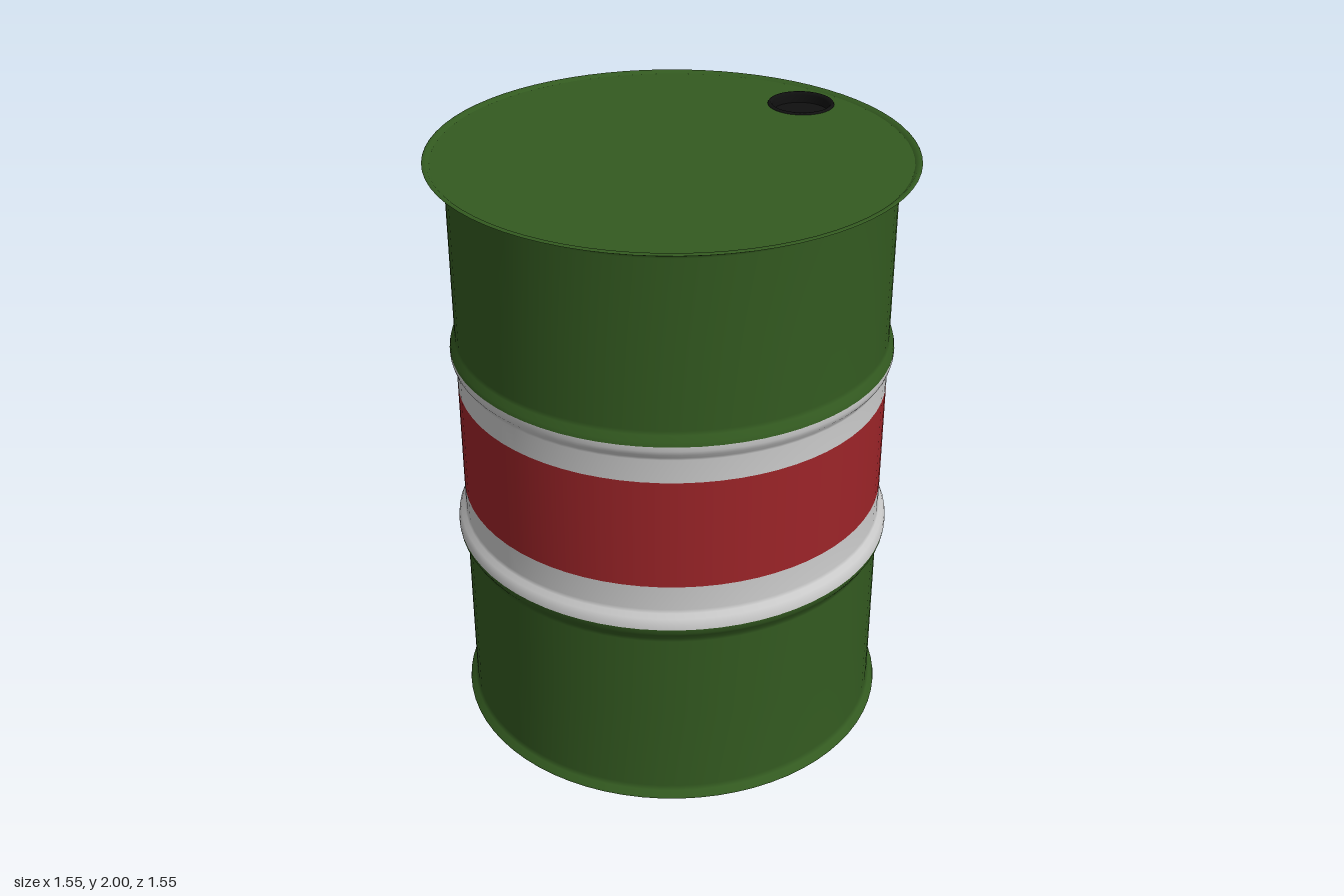
import * as THREE from 'three';

const SEGMENTS = 72;
const GREEN = 0x335a20, RED = 0x9c2428, GREY = 0xcccccc, BLACK = 0x101010;

const material = (color, side = THREE.FrontSide) => new THREE.MeshStandardMaterial({ color, side });

function add(parent, name, geometry, mat) {
  const mesh = new THREE.Mesh(geometry, mat);
  mesh.name = name;
  parent.add(mesh);
  return mesh;
}

// Revolves a list of [radius, height] pairs about the y axis.
function lathe(profile, segments = SEGMENTS) {
  return new THREE.LatheGeometry(profile.map(([r, y]) => new THREE.Vector2(r, y)), segments);
}

export function createModel() {
  const drum = new THREE.Group();
  drum.name = 'drum';
  const green = material(GREEN), red = material(RED), grey = material(GREY);
  const black = material(BLACK, THREE.DoubleSide);
  const R = 0.71;

  // Painted bands of the body, split at the crests of the two rolling ribs
  const bands = [
    ['lowerBody', green, [[0.735, 0.005], [0.733, 0.012], [0.718, 0.026], [R, 0.04], [R, 0.34],
      [R, 0.635], [0.713, 0.65], [0.728, 0.672], [0.735, 0.685], [0.737, 0.7]]],
    ['lowerGreyBand', grey, [[0.737, 0.7], [0.735, 0.717], [0.727, 0.735], [0.714, 0.748], [R, 0.76], [R, 0.845]]],
    ['redBand', red, [[R, 0.845], [R, 1.225]]],
    ['upperGreyBand', grey, [[R, 1.225], [R, 1.305], [0.713, 1.315], [0.724, 1.33], [0.728, 1.345], [0.728, 1.36]]],
    ['upperBody', green, [[0.728, 1.36], [0.725, 1.374], [0.714, 1.392], [R, 1.405], [R, 1.68],
      [R, 1.96], [0.716, 1.974], [0.738, 1.984], [0.765, 1.992], [0.775, 1.997]]],
  ];
  for (const [name, mat, profile] of bands) add(drum, name, lathe(profile), mat);

  // Rolled top rim, dropping slightly to the lid
  const lidY = 1.992, lidR = 0.752;
  add(drum, 'topRim', lathe([[0.775, 1.997], [0.772, 2], [0.761, 2], [lidR, lidY]]), green);

  // Lid with a round opening near the back edge
  const bungX = -0.045, bungZ = -0.62, bungR = 0.108;
  const lidShape = new THREE.Shape().absarc(0, 0, lidR, 0, Math.PI * 2);
  lidShape.holes.push(new THREE.Path().absarc(bungX, -bungZ, bungR, 0, Math.PI * 2, true));
  const lid = add(drum, 'lid', new THREE.ShapeGeometry(lidShape, SEGMENTS / 2), green);
  lid.rotation.x = -Math.PI / 2;
  lid.position.y = lidY;

  // Sunken filler cap: collar, recess wall and floor
  const bung = new THREE.Group();
  bung.name = 'fillerCap';
  bung.position.set(bungX, lidY, bungZ);
  drum.add(bung);
  add(bung, 'capCollar', lathe([[0.111, 0], [0.108, 0.005], [0.1, 0.005], [0.095, -0.004], [0.094, -0.03]], 40), black);
  add(bung, 'capFloor', new THREE.CircleGeometry(0.095, 40).rotateX(-Math.PI / 2).translate(0, -0.03, 0), black);

  // Shallow dished base
  add(drum, 'base', lathe([[0, 0], [0.46, 0], [0.735, 0.005]]), green);

  return drum;
}
